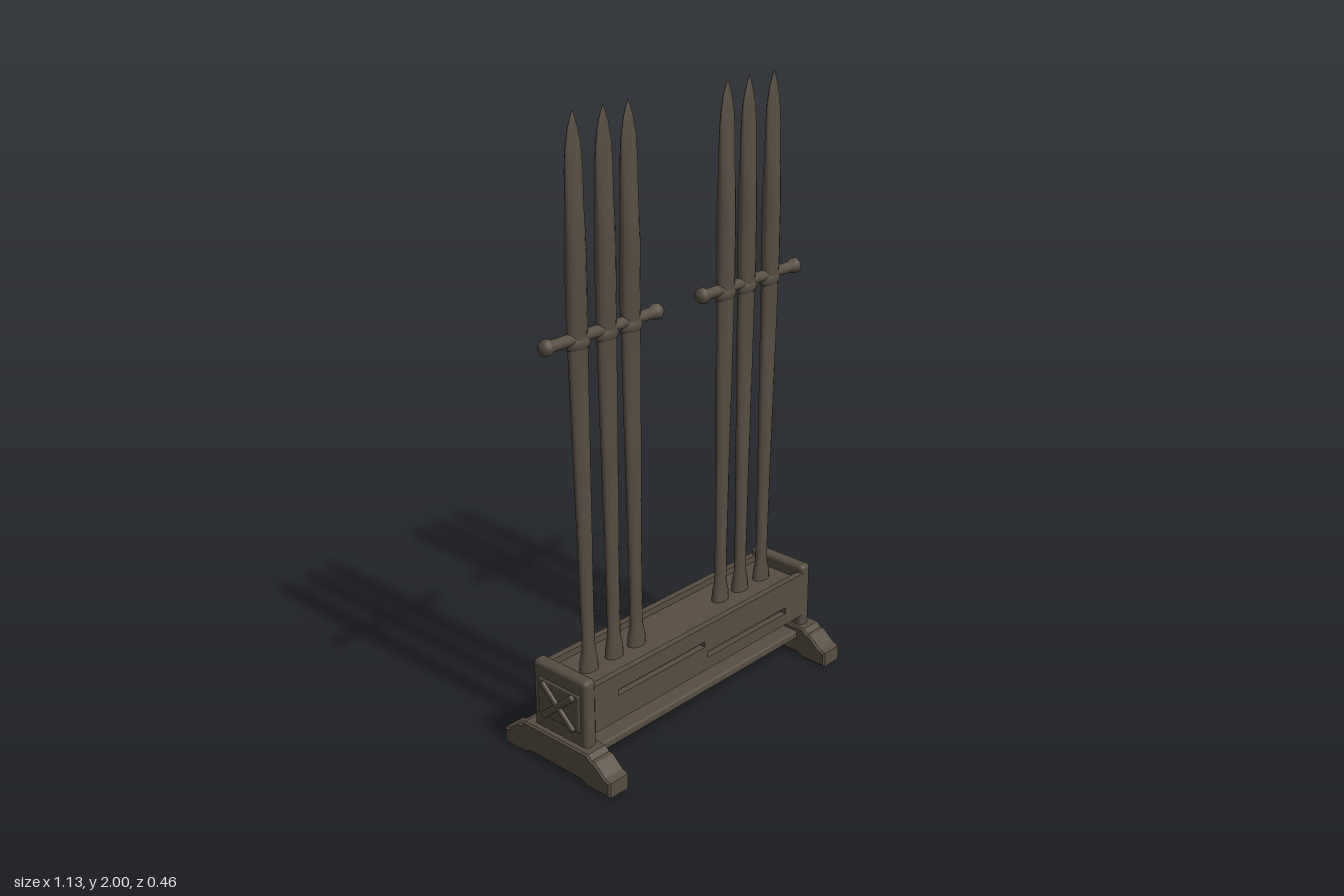
import * as THREE from 'three';
import { RoundedBoxGeometry } from 'three/addons/geometries/RoundedBoxGeometry.js';

const wood = new THREE.MeshStandardMaterial({ color: 0x574d41 });
wood.name = 'dark brown';

function add(parent, name, geometry, x = 0, y = 0, z = 0) {
  const mesh = new THREE.Mesh(geometry, wood);
  mesh.name = name;
  mesh.position.set(x, y, z);
  parent.add(mesh);
  return mesh;
}

// Blade: rows of [y, half width, half depth] from tip to base
const BLADE = [
  [2, 0.001, 0.001], [1.98, 0.009, 0.004], [1.95, 0.02, 0.007], [1.9, 0.03, 0.01],
  [1.84, 0.034, 0.013], [1.73, 0.033, 0.018], [1.66, 0.034, 0.024], [1.6, 0.036, 0.025],
  [1.4, 0.036, 0.025], [1.31, 0.037, 0.018], [1, 0.032, 0.018], [0.7, 0.027, 0.017],
  [0.45, 0.024, 0.016], [0.36, 0.024, 0.017], [0.32, 0.033, 0.022], [0.28, 0.035, 0.024],
];
function bladeGeometry(topX, baseX) {
  const sides = 12;
  const g = new THREE.CylinderGeometry(1, 1, 1, sides, BLADE.length - 1, true);
  const p = g.attributes.position;
  for (let i = 0; i < p.count; i++) {
    const [y, w, d] = BLADE[Math.floor(i / (sides + 1))];
    const t = Math.min(1, Math.max(0, (y - 0.35) / 1));
    p.setXYZ(i, baseX + (topX - baseX) * t + p.getX(i) * w, y, p.getZ(i) * d);
  }
  g.computeVertexNormals();
  return g;
}

// Long wall with two offset slots
function wallGeometry() {
  const rect = (path, x0, y0, x1, y1) =>
    path.moveTo(x0, y0).lineTo(x1, y0).lineTo(x1, y1).lineTo(x0, y1).closePath();
  const shape = rect(new THREE.Shape(), -0.5, 0.15, 0.5, 0.31);
  shape.holes.push(rect(new THREE.Path(), -0.4, 0.236, -0.005, 0.256));
  shape.holes.push(rect(new THREE.Path(), 0.01, 0.193, 0.405, 0.215));
  return new THREE.ExtrudeGeometry(shape, { depth: 0.022, bevelEnabled: false });
}

// Foot: side profile in (z, y), extruded across x
function footGeometry() {
  const half = [[0.115, 0.018], [0.135, 0.006], [0.225, 0.006], [0.225, 0.047],
    [0.205, 0.054], [0.165, 0.088], [0.15, 0.09], [0.135, 0.105]];
  const pts = [...half, ...half.slice().reverse().map(([z, y]) => [-z, y])];
  const shape = new THREE.Shape(pts.map(([z, y]) => new THREE.Vector2(z, y)));
  const g = new THREE.ExtrudeGeometry(shape, {
    depth: 0.073, bevelSize: 0.006, bevelThickness: 0.006, bevelSegments: 1,
  });
  g.translate(0, 0, -0.0365);
  g.rotateY(-Math.PI / 2);
  return g;
}

export function createModel() {
  const model = new THREE.Group();
  model.name = 'bladeRack';

  // Trough
  add(model, 'frontWall', wallGeometry(), 0, 0, 0.093);
  add(model, 'backWall', wallGeometry(), 0, 0, -0.115);
  add(model, 'troughBed', new THREE.BoxGeometry(1, 0.02, 0.19), 0, 0.278, 0);
  add(model, 'bottomBoard', new RoundedBoxGeometry(1, 0.03, 0.22, 2, 0.008), 0, 0.08, 0);

  for (const s of [-1, 1]) {
    const side = s < 0 ? 'right' : 'left';

    // End panel with crossed braces, standing on a foot
    const end = new THREE.Group();
    end.name = side + 'End';
    model.add(end);
    add(end, 'endPanel', new RoundedBoxGeometry(0.046, 0.245, 0.23, 2, 0.015), s * 0.514, 0.2125, 0);
    add(end, 'endPlate', new RoundedBoxGeometry(0.02, 0.13, 0.18, 2, 0.008), s * 0.533, 0.22, 0);
    for (const tilt of [-1, 1]) {
      const brace = add(end, 'crossBrace', new RoundedBoxGeometry(0.03, 0.022, 0.18, 2, 0.007),
        s * 0.538, 0.215, 0);
      brace.rotation.x = tilt * 0.72;
    }
    add(end, 'foot', footGeometry(), s * 0.518, 0, 0);

    // Three blades joined by a knobbed crossbar
    const cluster = new THREE.Group();
    cluster.name = side + 'Blades';
    model.add(cluster);
    for (const [top, base] of [[0.425, 0.41], [0.309, 0.3], [0.21, 0.2]]) {
      add(cluster, 'blade', bladeGeometry(s * top, s * base));
    }
    const profile = [[0, -0.243], [0.017, -0.24], [0.025, -0.228], [0.025, -0.215], [0.018, -0.2],
      [0.018, 0.2], [0.025, 0.215], [0.025, 0.228], [0.017, 0.24], [0, 0.243]];
    const bar = add(cluster, 'crossbar',
      new THREE.LatheGeometry(profile.map(([r, y]) => new THREE.Vector2(r, y)), 14), s * 0.324, 1.36, 0);
    bar.rotation.z = Math.PI / 2;
    // Thickened collars where the bar meets each blade
    for (const x of [0.423, 0.309, 0.209]) {
      const collar = add(cluster, 'collar', new THREE.SphereGeometry(1, 12, 8), s * x, 1.345, 0);
      collar.scale.set(0.046, 0.032, 0.024);
    }
  }
  return model;
}
